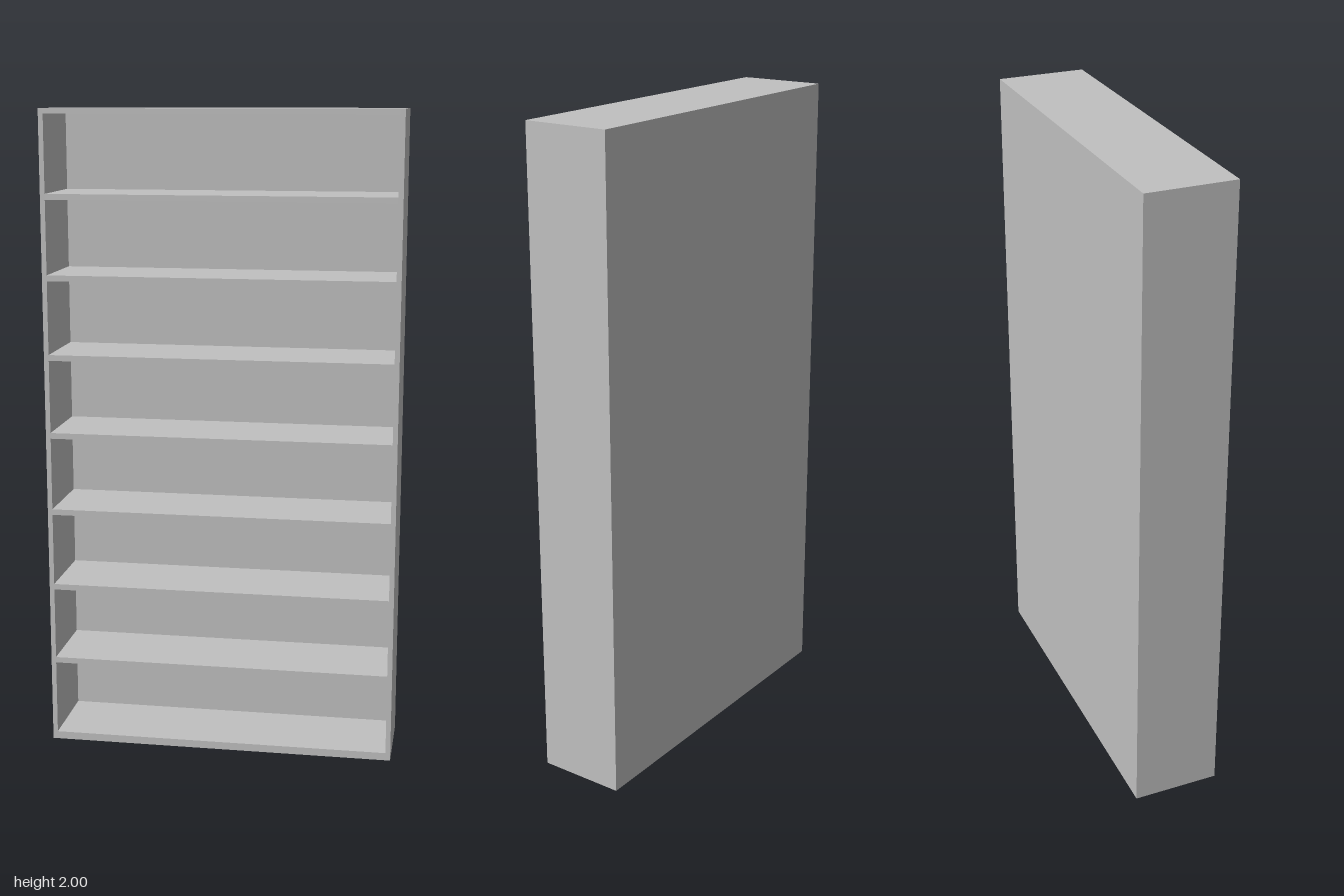
import * as THREE from 'three';

const WIDTH = 1.088, HEIGHT = 2, DEPTH = 0.272;
const BACK = 0.012;   // back panel thickness
const SIDE = 0.015;   // side panel thickness
const BOTTOM = 0.024, TOP = 0.016, SHELF = 0.018;
const SHELVES = 7, FIRST = 0.269, STEP = 0.245; // shelf centre heights

export function createModel() {
  const group = new THREE.Group();
  group.name = 'bookcase';

  const grey = new THREE.MeshStandardMaterial({ color: 0xc0c0c0 });
  grey.name = 'light grey';

  const addBox = (name, w, h, d, x, y, z) => {
    const mesh = new THREE.Mesh(new THREE.BoxGeometry(w, h, d), grey);
    mesh.name = name;
    mesh.position.set(x, y, z);
    group.add(mesh);
  };

  const innerWidth = WIDTH - 2 * SIDE;
  const innerDepth = DEPTH - BACK;
  const innerZ = BACK / 2;

  // Side panels
  for (const [name, s] of [['leftSide', 1], ['rightSide', -1]]) {
    addBox(name, SIDE, HEIGHT, innerDepth, s * (WIDTH - SIDE) / 2, HEIGHT / 2, innerZ);
  }

  // Bottom and top boards
  addBox('bottomBoard', innerWidth, BOTTOM, innerDepth, 0, BOTTOM / 2, innerZ);
  addBox('topBoard', innerWidth, TOP, innerDepth, 0, HEIGHT - TOP / 2, innerZ);

  // Evenly spaced shelves, flush with the front
  for (let i = 0; i < SHELVES; i++) {
    addBox(`shelf${i + 1}`, innerWidth, SHELF, innerDepth, 0, FIRST + i * STEP, innerZ);
  }

  // Closed back
  addBox('backPanel', WIDTH, HEIGHT, BACK, 0, HEIGHT / 2, (BACK - DEPTH) / 2);

  return group;
}
